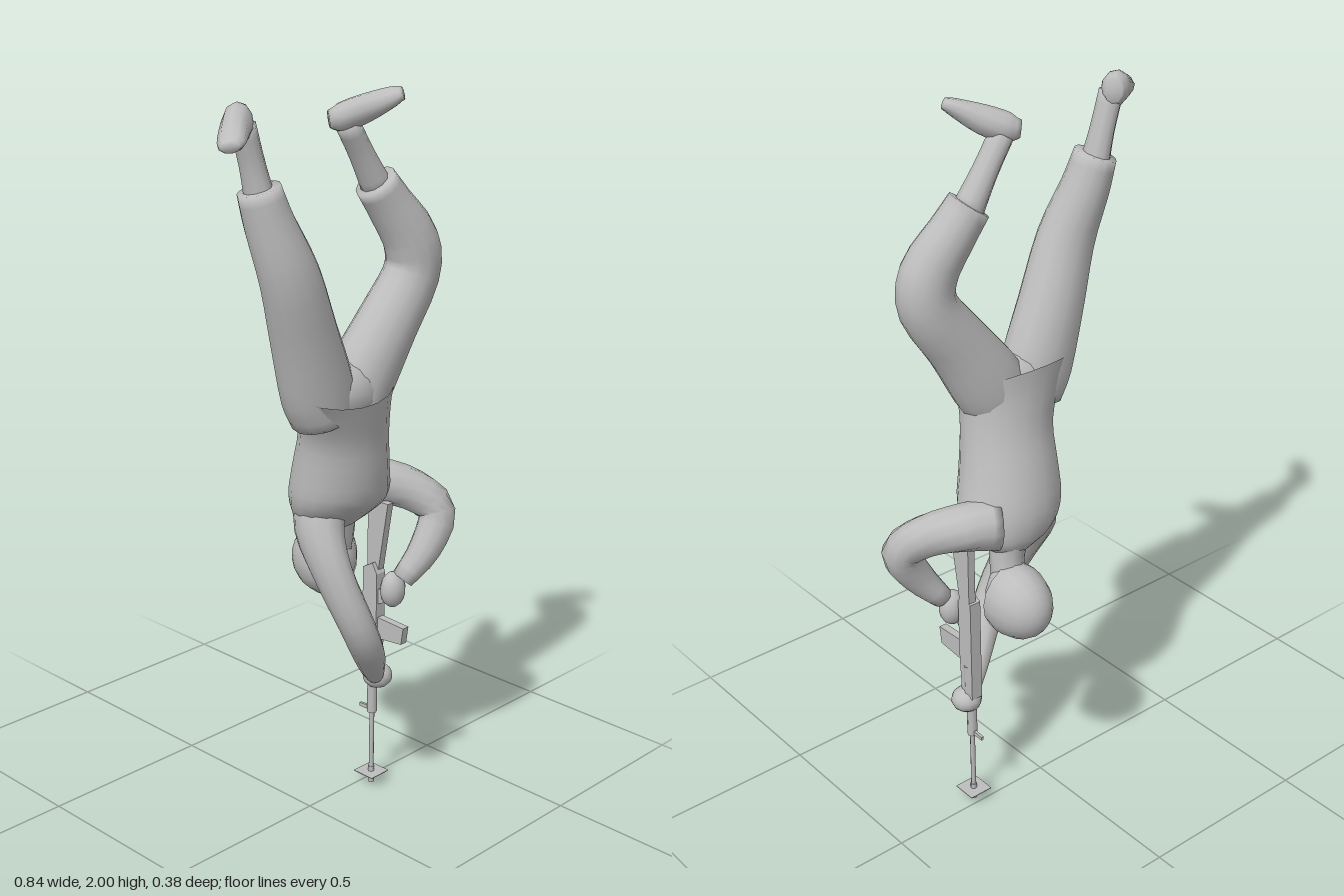
import * as THREE from 'three';

const grey = new THREE.MeshStandardMaterial({ color: 0xbdbdbd, side: THREE.DoubleSide });
grey.name = 'plain grey';

const Z = new THREE.Vector3(0, 0, 1);

// Smooth body section lofted along points [x, y, z, radiusAcross, radiusDeep].
// With hemTilt the rings stay level and the last ones lean up toward the back.
function loft(points, { steps = 3, sides = 14, hemTilt = null, capEnd = true } = {}) {
  const path = new THREE.CatmullRomCurve3(points.map(p => new THREE.Vector3(p[0], p[1], p[2])), false, 'catmullrom');
  const size = new THREE.CatmullRomCurve3(points.map(p => new THREE.Vector3(p[3], p[4], 0)), false, 'catmullrom');
  const rings = (points.length - 1) * steps;
  const pos = [], index = [];
  for (let i = 0; i <= rings; i++) {
    const k = i / rings;
    const c = path.getPoint(k), r = size.getPoint(k);
    const t = hemTilt === null ? path.getTangent(k) : new THREE.Vector3(0, 1, 0);
    const u = Z.clone().cross(t).normalize();
    const v = t.clone().cross(u);
    for (let j = 0; j < sides; j++) {
      const a = (j / sides) * Math.PI * 2;
      const p = c.clone().addScaledVector(u, Math.cos(a) * r.x).addScaledVector(v, Math.sin(a) * r.y);
      if (hemTilt !== null) p.y -= (p.z - c.z) * hemTilt * k * k;
      pos.push(p.x, p.y, p.z);
    }
  }
  const at = (i, j) => i * sides + (j % sides);
  for (let i = 0; i < rings; i++) {
    for (let j = 0; j < sides; j++) {
      index.push(at(i, j), at(i, j + 1), at(i + 1, j));
      index.push(at(i, j + 1), at(i + 1, j + 1), at(i + 1, j));
    }
  }
  const first = points[0], last = points[points.length - 1];
  const start = pos.length / 3;
  pos.push(first[0], first[1], first[2], last[0], last[1], last[2]);
  for (let j = 0; j < sides; j++) {
    index.push(start, at(0, j + 1), at(0, j));
    if (capEnd) index.push(start + 1, at(rings, j), at(rings, j + 1));
  }
  const g = new THREE.BufferGeometry();
  g.setAttribute('position', new THREE.Float32BufferAttribute(pos, 3));
  g.setIndex(index);
  g.computeVertexNormals();
  return g;
}

// Flat plate cut from a side profile of [z, y] corners, centred on x.
function plate(corners, x, thickness) {
  const shape = new THREE.Shape(corners.map(c => new THREE.Vector2(c[0], c[1])));
  const g = new THREE.ExtrudeGeometry(shape, { depth: thickness, bevelEnabled: false });
  return g.translate(0, 0, -thickness / 2).rotateY(-Math.PI / 2).translate(x, 0, 0);
}

function ball(x, y, z, rx, ry, rz) {
  return new THREE.SphereGeometry(1, 12, 9).scale(rx, ry, rz).translate(x, y, z);
}

export function createModel() {
  const model = new THREE.Group();
  model.name = 'proneFigure';
  const add = (name, geometry, parent = model) => {
    const mesh = new THREE.Mesh(geometry, grey);
    mesh.name = name;
    parent.add(mesh);
    return mesh;
  };

  // Jacket, open at the tilted hem
  add('jacket', loft([
    [0.12, 0.825, -0.02, 0.06, 0.05],
    [0.10, 0.865, -0.005, 0.125, 0.085],
    [0.085, 0.93, 0.025, 0.148, 0.12],
    [0.072, 1.02, 0.045, 0.138, 0.118],
    [0.06, 1.12, 0.065, 0.132, 0.105],
    [0.035, 1.21, 0.08, 0.15, 0.105],
    [0.02, 1.265, 0.085, 0.172, 0.108],
  ], { hemTilt: 0.4, capEnd: false, sides: 18 }));
  add('pelvis', ball(0.025, 1.23, 0.08, 0.145, 0.09, 0.088));

  // Trouser legs
  add('rightLeg', loft([
    [-0.03, 1.18, 0.08, 0.09, 0.08],
    [-0.055, 1.26, 0.08, 0.105, 0.085],
    [-0.11, 1.41, 0.088, 0.092, 0.082],
    [-0.17, 1.57, 0.1, 0.08, 0.073],
    [-0.215, 1.7, 0.08, 0.063, 0.065],
    [-0.24, 1.79, 0.068, 0.053, 0.058],
  ]));
  add('leftLeg', loft([
    [0.07, 1.18, 0.08, 0.085, 0.08],
    [0.11, 1.26, 0.08, 0.1, 0.085],
    [0.19, 1.385, 0.092, 0.085, 0.08],
    [0.272, 1.505, 0.1, 0.077, 0.073],
    [0.268, 1.595, 0.1, 0.076, 0.07],
    [0.21, 1.69, 0.08, 0.062, 0.062],
    [0.165, 1.755, 0.068, 0.056, 0.057],
  ]));

  // Ankles and boots
  add('rightAnkle', loft([
    [-0.235, 1.76, 0.068, 0.036, 0.042],
    [-0.255, 1.85, 0.062, 0.03, 0.035],
    [-0.282, 1.945, 0.06, 0.03, 0.034],
  ], { sides: 10 }));
  add('rightBoot', loft([
    [-0.262, 1.955, 0.03, 0.03, 0.022],
    [-0.285, 1.952, 0.05, 0.046, 0.036],
    [-0.335, 1.94, 0.09, 0.036, 0.036],
    [-0.39, 1.923, 0.138, 0.022, 0.034],
    [-0.41, 1.917, 0.158, 0.013, 0.022],
  ], { sides: 10 }));
  add('leftAnkle', loft([
    [0.175, 1.735, 0.068, 0.04, 0.042],
    [0.12, 1.83, 0.062, 0.031, 0.035],
    [0.07, 1.91, 0.06, 0.03, 0.034],
  ], { sides: 10 }));
  add('leftBoot', loft([
    [0.03, 1.922, 0.035, 0.022, 0.022],
    [0.055, 1.926, 0.055, 0.036, 0.036],
    [0.1, 1.946, 0.09, 0.036, 0.036],
    [0.15, 1.975, 0.138, 0.022, 0.032],
    [0.166, 1.983, 0.158, 0.014, 0.022],
  ], { sides: 10 }));

  // Arms: one reaching to the fore-end, one bent to the grip
  add('rightArm', loft([
    [0.04, 0.93, 0.01, 0.075, 0.075],
    [0.005, 0.85, 0.03, 0.062, 0.072],
    [0.0, 0.74, 0.085, 0.05, 0.06],
    [0.035, 0.6, 0.138, 0.047, 0.05],
    [0.09, 0.5, 0.13, 0.044, 0.048],
    [0.165, 0.405, 0.08, 0.034, 0.036],
    [0.215, 0.35, 0.045, 0.025, 0.025],
  ], { sides: 12 }));
  add('leftArm', loft([
    [0.17, 0.91, -0.03, 0.07, 0.065],
    [0.25, 0.915, 0.005, 0.064, 0.064],
    [0.325, 0.885, 0.075, 0.058, 0.055],
    [0.365, 0.825, 0.13, 0.053, 0.052],
    [0.315, 0.73, 0.132, 0.045, 0.045],
    [0.255, 0.65, 0.105, 0.03, 0.033],
  ], { sides: 12 }));
  add('rightHand', ball(0.233, 0.342, 0.038, 0.043, 0.036, 0.042));
  add('leftHand', ball(0.236, 0.62, 0.088, 0.038, 0.052, 0.034));

  // Neck, head and helmet
  add('neck', loft([
    [0.125, 0.88, -0.025, 0.06, 0.055],
    [0.14, 0.8, -0.03, 0.048, 0.045],
    [0.148, 0.73, -0.045, 0.045, 0.045],
  ], { sides: 10 }));
  add('head', ball(0.15, 0.705, -0.055, 0.07, 0.088, 0.062));
  const helmet = new THREE.Group();
  helmet.name = 'helmet';
  helmet.position.set(0.15, 0.69, -0.072);
  helmet.rotation.x = -0.08;
  model.add(helmet);
  add('helmetShell', new THREE.SphereGeometry(1, 16, 7, 0, Math.PI * 2, 0, Math.PI / 2)
    .rotateX(-Math.PI / 2).scale(0.088, 0.105, 0.12), helmet);
  add('helmetSkirt', new THREE.CylinderGeometry(1, 0.97, 1, 16, 1, true)
    .rotateX(-Math.PI / 2).scale(0.088, 0.105, 0.025).translate(0, 0, 0.0125), helmet);

  // Rifle pointing straight down
  const rifle = new THREE.Group();
  rifle.name = 'rifle';
  model.add(rifle);
  const gx = 0.226;
  const rod = (name, y0, y1, r, z = 0.025) => add(name,
    new THREE.CylinderGeometry(r, r, y1 - y0, 8).translate(gx, (y0 + y1) / 2, z), rifle);
  rod('barrel', 0, 0.26, 0.007);
  rod('muzzle', 0, 0.05, 0.009);
  rod('foreEnd', 0.225, 0.34, 0.014);
  rod('handguard', 0.32, 0.46, 0.021);
  add('receiver', plate([[0, 0.36], [0.045, 0.36], [0.052, 0.5], [0.052, 0.66], [0.035, 0.69], [0, 0.67]], gx, 0.034), rifle);
  add('magazine', plate([[0.04, 0.465], [0.14, 0.475], [0.147, 0.525], [0.04, 0.53]], gx, 0.022), rifle);
  add('grip', plate([[0.04, 0.565], [0.095, 0.59], [0.09, 0.63], [0.04, 0.61]], gx, 0.022), rifle);
  add('stock', plate([[0.005, 0.66], [0.045, 0.66], [0.078, 0.87], [0.005, 0.87]], gx + 0.006, 0.022), rifle);
  add('frontSight', plate([[-0.02, 0.228], [0.025, 0.228], [0.025, 0.242], [-0.02, 0.238]], gx, 0.008), rifle);
  // Thin square plate around the muzzle
  add('muzzlePlate', new THREE.BoxGeometry(0.07, 0.002, 0.07).translate(gx, 0.034, 0.025), rifle);

  return model;
}
